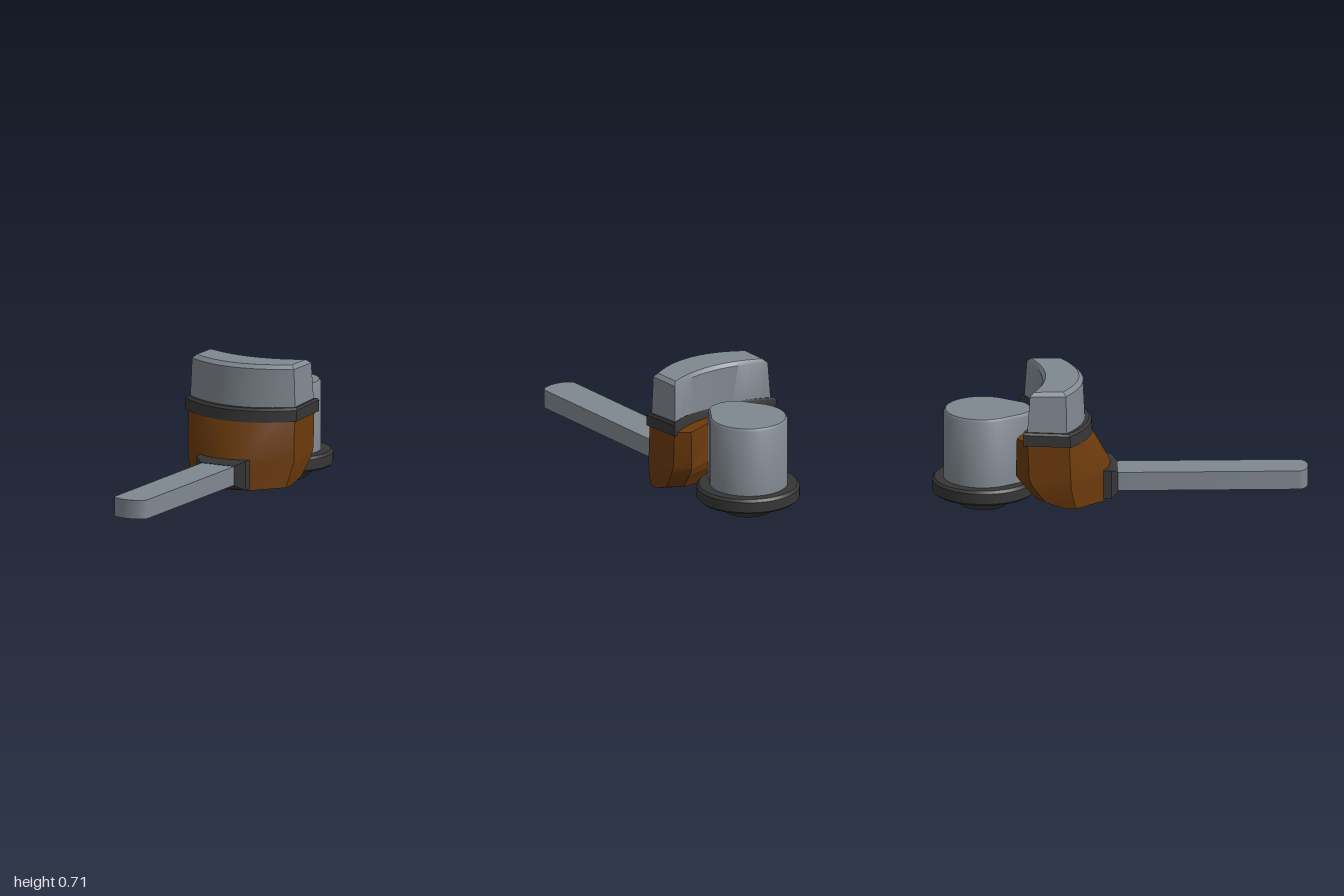
import * as THREE from 'three';
import { toCreasedNormals } from 'three/addons/utils/BufferGeometryUtils.js';

const steel = new THREE.MeshStandardMaterial({ name: 'steel grey', color: 0x808890 });
const rubber = new THREE.MeshStandardMaterial({ name: 'dark rubber', color: 0x363636 });
const brown = new THREE.MeshStandardMaterial({ name: 'burnt orange', color: 0x6c3a0c });

// Loft through horizontal rows. Each row: { y, slope, half: [[x, z], ...] } with the
// half outline running from front centre round the +x side to back centre.
function loft(rows, crease = 0.6) {
  const rings = rows.map(({ y, slope = 0, half }) => {
    const mirrored = half.filter(p => p[0] > 0).reverse().map(([x, z]) => [-x, z]);
    return [...half, ...mirrored].map(([x, z]) => [x, y - slope * (z + 0.15), z]);
  });
  const n = rings[0].length;
  const index = [];
  for (let r = 0; r < rings.length - 1; r++) {
    for (let i = 0; i < n; i++) {
      const a = r * n + i, b = r * n + (i + 1) % n;
      index.push(a, b, b + n, a, b + n, a + n);
    }
  }
  const cap = (ring, base, flip) => {
    const contour = ring.map(p => new THREE.Vector2(p[0], -p[2]));
    for (const [a, b, c] of THREE.ShapeUtils.triangulateShape(contour, [])) {
      index.push(base + a, base + (flip ? c : b), base + (flip ? b : c));
    }
  };
  cap(rings[0], 0, true);
  cap(rings[rings.length - 1], (rings.length - 1) * n, false);
  const g = new THREE.BufferGeometry();
  g.setAttribute('position', new THREE.Float32BufferAttribute(rings.flat(2), 3));
  g.setIndex(index);
  return toCreasedNormals(g, crease);
}

// Half outline of a block bowed towards the front
function bowed(w, front, frontEnd, back, backEnd, steps = 6) {
  const pts = [];
  for (let i = 0; i <= steps; i++) {
    const t = i / steps;
    pts.push([w * t, front + (frontEnd - front) * t * t]);
  }
  for (let i = steps; i >= 0; i--) {
    const t = i / steps;
    pts.push([w * t, back + (backEnd - back) * t * t]);
  }
  return pts;
}

// Half outline of a round drum with a neck reaching forwards
function teardrop(r) {
  const pts = [[0, -0.675 + r], [0.06, -0.685 + r], [r * 0.48, -0.71 + r]];
  for (let i = 0; i <= 20; i++) {
    const a = THREE.MathUtils.lerp(0.9, Math.PI, i / 20);
    pts.push([i === 20 ? 0 : r * Math.sin(a), -0.73 + r * Math.cos(a)]);
  }
  return pts;
}

export function createModel() {
  const model = new THREE.Group();
  const add = (name, geometry, material) => {
    const m = new THREE.Mesh(geometry, material);
    m.name = name;
    model.add(m);
    return m;
  };

  // Main housing
  const nose = [[0, -0.05], [0.08, -0.062], [0.166, -0.1]];
  add('housing', loft([
    { y: 0.057, half: [...nose, [0.288, -0.24], [0.288, -0.30], [0.22, -0.32], [0, -0.30]] },
    { y: 0.095, half: [...nose, [0.297, -0.25], [0.297, -0.40], [0.22, -0.45], [0, -0.45]] },
    { y: 0.19, half: [...nose, [0.32, -0.27], [0.32, -0.47], [0.24, -0.53], [0, -0.48]] },
    { y: 0.235, half: [...nose, [0.32, -0.27], [0.32, -0.49], [0.25, -0.56], [0, -0.48]] },
    { y: 0.44, half: [[0, -0.165], [0.14, -0.185], [0.25, -0.23], [0.32, -0.28],
      [0.32, -0.5], [0.25, -0.555], [0, -0.46]] },
  ]), brown);

  // Slots under the housing
  for (const s of [-1, 1]) {
    const slot = add('undersideSlot', new THREE.BoxGeometry(0.035, 0.006, 0.17), rubber);
    slot.position.set(s * 0.14, 0.056, -0.21);
  }

  // Collar and the bowed block above it
  add('collar', loft([
    { y: 0.409, slope: 0.045, half: bowed(0.334, -0.145, -0.27, -0.425, -0.525) },
    { y: 0.47, slope: 0.045, half: bowed(0.336, -0.15, -0.275, -0.42, -0.525) },
    { y: 0.482, slope: 0.045, half: bowed(0.328, -0.165, -0.285, -0.415, -0.515) },
  ]), rubber);
  add('upperBlock', loft([
    { y: 0.44, half: bowed(0.318, -0.183, -0.29, -0.42, -0.505) },
    { y: 0.692, half: bowed(0.308, -0.195, -0.295, -0.412, -0.487) },
    { y: 0.712, half: bowed(0.287, -0.218, -0.31, -0.395, -0.465) },
  ]), steel);

  // Rear drum on its round foot
  add('drum', loft([
    { y: 0.13, half: teardrop(0.208) },
    { y: 0.515, half: teardrop(0.208) },
    { y: 0.53, half: teardrop(0.198) },
  ]), steel);
  const profile = [[0, 0], [0.125, 0], [0.21, 0.068], [0.262, 0.07], [0.275, 0.082],
    [0.275, 0.138], [0.262, 0.152], [0, 0.152]].map(p => new THREE.Vector2(...p));
  add('drumFoot', toCreasedNormals(new THREE.LatheGeometry(profile, 48), 0.6), rubber)
    .position.z = -0.725;

  // Boot where the bar enters, lofted along z
  const rect = (w, y0, y1) => [[0, -y0], [w, -y0], [w, -y1], [0, -y1]];
  const boot = loft([
    { y: -0.13, half: rect(0.148, 0.065, 0.222) },
    { y: -0.048, half: rect(0.148, 0.065, 0.222) },
    { y: -0.012, half: rect(0.1, 0.092, 0.198) },
  ], 0.3);
  boot.rotateX(Math.PI / 2);
  add('barBoot', boot, rubber);

  // Long bar with a rounded tip
  const tip = [];
  for (let i = 0; i <= 8; i++) {
    const a = (i / 8) * Math.PI / 2;
    tip.push([0.098 * Math.sin(a), 0.95 + 0.05 * Math.cos(a)]);
  }
  const outline = [...tip, [0.098, -0.1], [0, -0.1]];
  add('bar', loft([{ y: 0.094, half: outline }, { y: 0.196, half: outline }]), steel);

  return model;
}
